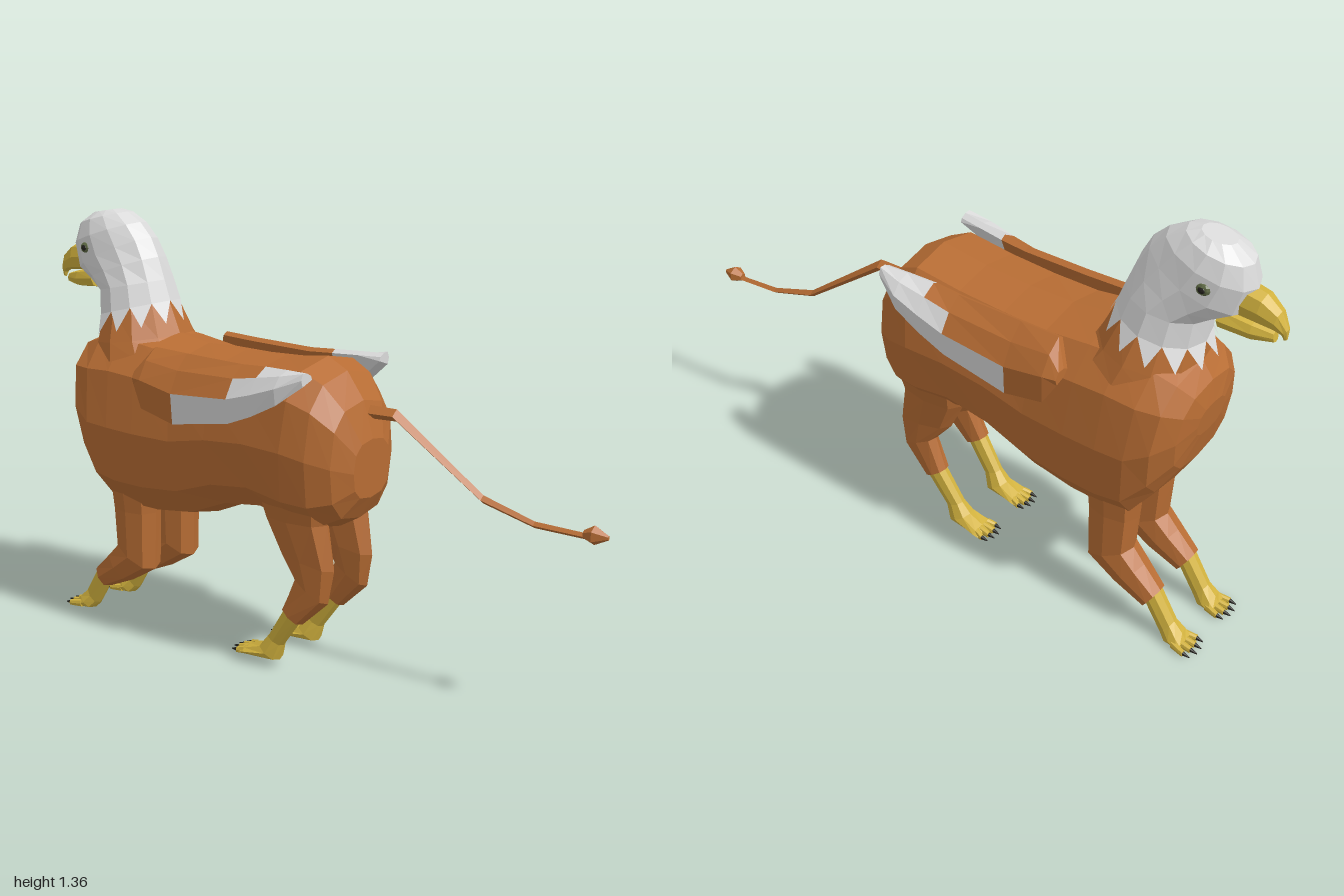
import * as THREE from 'three';

const colour = (name, hex) => {
  const m = new THREE.MeshStandardMaterial({ color: hex });
  m.name = name;
  return m;
};
const brown = colour('brown fur', 0xb86d34);
const white = colour('white feathers', 0xdadada);
const yellow = colour('yellow skin', 0xd2b23e);
const olive = colour('olive eye', 0x5f6a45);
const black = colour('black claw', 0x25231e);

// Flat-faced mesh from a list of triangles
function facets(name, material, tris) {
  const geo = new THREE.BufferGeometry().setFromPoints(tris.flat());
  geo.computeVertexNormals();
  const mesh = new THREE.Mesh(geo, material);
  mesh.name = name;
  return mesh;
}

// Skins closed rings with end caps; pick(i, j) gives the material of each facet
function skin(name, rings, pick) {
  const tris = [];
  const n = rings[0].length, last = rings.length - 1;
  const add = (m, ...t) => tris.push({ m, t });
  for (let i = 0; i < last; i++) {
    for (let j = 0; j < n; j++) {
      const k = (j + 1) % n, m = pick(i, j);
      add(m, rings[i][j], rings[i][k], rings[i + 1][k]);
      add(m, rings[i][j], rings[i + 1][k], rings[i + 1][j]);
    }
  }
  for (let j = 1; j < n - 1; j++) {
    add(pick(0, 1), rings[0][0], rings[0][j + 1], rings[0][j]);
    add(pick(last - 1, 1), rings[last][0], rings[last][j], rings[last][j + 1]);
  }
  // Turn all faces outward
  const volume = tris.reduce((v, { t: [a, b, c] }) => v + a.dot(b.clone().cross(c)), 0);
  if (volume < 0) tris.forEach(f => f.t.reverse());
  const group = new THREE.Group();
  group.name = name;
  for (const m of new Set(tris.map(f => f.m))) {
    group.add(facets(name + ' ' + m.name, m, tris.filter(f => f.m === m).map(f => f.t)));
  }
  return group;
}

// Section: [zA, yA, zB, yB, halfWidth, xCentre]; an oval spanning from A to B
function ring([zA, yA, zB, yB, hw, xc = 0], n, power) {
  const bend = v => Math.sign(v) * Math.abs(v) ** power;
  return Array.from({ length: n }, (_, k) => {
    const t = (k / n) * Math.PI * 2;
    const c = bend(Math.cos(t)), s = bend(Math.sin(t));
    return new THREE.Vector3(xc + hw * s, (yA + yB) / 2 + c * (yA - yB) / 2, (zA + zB) / 2 + c * (zA - zB) / 2);
  });
}
const loft = (name, material, sections, n = 8, power = 0.8) =>
  skin(name, sections.map(s => ring(s, n, power)), () => material);

export function createModel() {
  const model = new THREE.Group();
  model.name = 'winged beast';
  const add = (...parts) => model.add(...parts);

  // Torso from rump to chest
  add(loft('torso', brown, [
    [0.285, 0.76, 0.28, 0.58, 0.09],
    [0.25, 0.87, 0.24, 0.51, 0.155],
    [0.19, 0.95, 0.17, 0.47, 0.195],
    [0.12, 0.985, 0.08, 0.47, 0.212],
    [-0.04, 0.967, -0.04, 0.50, 0.212],
    [-0.2, 0.962, -0.18, 0.48, 0.212],
    [-0.35, 0.967, -0.32, 0.42, 0.215],
    [-0.5, 0.99, -0.46, 0.40, 0.223],
    [-0.6, 1.0, -0.58, 0.40, 0.227],
    [-0.7, 0.99, -0.66, 0.42, 0.225],
    [-0.77, 0.96, -0.73, 0.53, 0.205],
    [-0.808, 0.91, -0.785, 0.63, 0.15],
    [-0.82, 0.84, -0.81, 0.74, 0.07],
  ], 12, 0.75));
  add(loft('neck base', brown, [
    [-0.79, 0.88, -0.42, 0.93, 0.185],
    [-0.775, 0.94, -0.47, 0.98, 0.165],
    [-0.765, 1.03, -0.515, 1.08, 0.128],
  ], 12, 1));

  // Head with a ragged feather collar
  const head = [
    [-0.775, 1.02, -0.512, 1.085, 0.134],
    [-0.78, 1.10, -0.535, 1.15, 0.122],
    [-0.83, 1.13, -0.56, 1.22, 0.112],
    [-0.885, 1.16, -0.59, 1.28, 0.104],
    [-0.905, 1.24, -0.635, 1.325, 0.096],
    [-0.885, 1.305, -0.69, 1.355, 0.075],
    [-0.83, 1.345, -0.73, 1.362, 0.04],
  ];
  add(loft('head', white, head, 12, 1));
  const rim = ring(head[0], 12, 1);
  const rimCentre = new THREE.Vector3(0, 1.05, -0.6435);
  const collar = rim.map((p, i) => {
    const q = rim[(i + 1) % 12];
    const tip = p.clone().add(q).multiplyScalar(0.5);
    const y = tip.y - 0.065;
    tip.sub(rimCentre).multiplyScalar(1.23).add(rimCentre).setY(y);
    return [p, tip, q];
  });
  const facing = collar.map(([p, t, q]) => {
    const normal = t.clone().sub(p).cross(q.clone().sub(p));
    return normal.dot(t.clone().sub(rimCentre)) > 0 ? [p, t, q] : [p, q, t];
  });
  add(facets('feather collar', white, facing));

  // Hooked beak
  add(loft('upper beak', yellow, [
    [-0.86, 1.25, -0.84, 1.155, 0.045],
    [-0.93, 1.235, -0.92, 1.15, 0.04],
    [-0.975, 1.2, -0.965, 1.145, 0.028],
    [-1.0, 1.155, -0.985, 1.135, 0.013],
    [-1.0, 1.125, -0.99, 1.12, 0.004],
  ]));
  add(loft('lower beak', yellow, [
    [-0.82, 1.165, -0.82, 1.1, 0.05],
    [-0.91, 1.15, -0.91, 1.095, 0.035],
    [-0.965, 1.135, -0.97, 1.105, 0.014],
  ]));

  // Tail with a pointed tuft
  const tail = [[0.2, 0.83, 0.025, 0.026], [0.345, 0.832, 0.032, 0.023], [0.625, 0.625, 0.062, 0.015],
    [0.785, 0.578, 0.076, 0.012], [0.95, 0.572, 0.09, 0.011]];
  add(loft('tail', brown, tail.map(([z, y, x, r]) => [z, y + r * 0.8, z, y - r * 0.8, r, x]), 4, 1));
  add(loft('tail tuft', brown, [
    [0.93, 0.59, 0.93, 0.565, 0.012, 0.088],
    [0.96, 0.608, 0.96, 0.552, 0.027, 0.091],
    [1.0, 0.585, 1.0, 0.572, 0.006, 0.095],
  ], 6, 1));

  for (const side of [1, -1]) {
    const label = side > 0 ? 'left' : 'right';
    const limb = (name, material, sections) =>
      add(loft(`${label} ${name}`, material, sections.map(([a, b, c, d, w, x]) => [a, b, c, d, w, side * x])));

    // Eye
    const disc = (name, material, r, x) => {
      const eye = new THREE.Mesh(new THREE.SphereGeometry(r, 8, 6).toNonIndexed(), material);
      eye.geometry.computeVertexNormals();
      eye.name = `${label} ${name}`;
      eye.scale.set(0.5, 0.8, 1);
      eye.position.set(side * x, 1.24, -0.795);
      add(eye);
    };
    disc('eye', olive, 0.022, 0.09);
    disc('pupil', black, 0.012, 0.097);

    // Front leg
    limb('front leg', brown, [
      [-0.68, 0.55, -0.5, 0.55, 0.07, 0.1],
      [-0.672, 0.4, -0.51, 0.4, 0.06, 0.093],
      [-0.665, 0.28, -0.518, 0.205, 0.057, 0.093],
      [-0.705, 0.235, -0.62, 0.145, 0.053, 0.094],
      [-0.768, 0.17, -0.725, 0.1, 0.042, 0.096],
    ]);
    limb('front foot', yellow, [
      [-0.765, 0.168, -0.73, 0.112, 0.03, 0.096],
      [-0.825, 0.075, -0.785, 0.025, 0.028, 0.096],
      [-0.855, 0.045, -0.805, 0.003, 0.038, 0.096],
      [-0.868, 0.025, -0.855, 0.003, 0.04, 0.096],
    ]);

    // Hind leg
    limb('hind leg', brown, [
      [-0.06, 0.64, 0.23, 0.68, 0.085, 0.115],
      [-0.03, 0.5, 0.195, 0.5, 0.055, 0.1],
      [0.02, 0.395, 0.22, 0.36, 0.04, 0.097],
      [0.08, 0.32, 0.2, 0.255, 0.032, 0.1],
      [0.038, 0.215, 0.107, 0.168, 0.031, 0.105],
    ]);
    limb('hind foot', yellow, [
      [0.045, 0.215, 0.1, 0.175, 0.026, 0.105],
      [-0.025, 0.105, 0.03, 0.08, 0.024, 0.1],
      [-0.055, 0.07, 0.013, 0.027, 0.036, 0.098],
      [-0.105, 0.05, -0.1, 0.025, 0.046, 0.098],
      [-0.12, 0.042, -0.12, 0.025, 0.044, 0.098],
    ]);

    // Toes and claws
    for (const i of [-1.5, -0.5, 0.5, 1.5]) {
      const reach = Math.abs(i) < 1 ? 0.01 : 0;
      for (const [foot, z, y, spread] of [['front', -0.84, 0.003, 0.026], ['hind', -0.105, 0.025, 0.024]]) {
        const long = foot === 'front' ? 0.045 : 0.025;
        const x0 = 0.097 + i * 0.019, x1 = 0.097 + i * spread;
        const end = z - long - reach;
        limb(`${foot} toe`, yellow, [
          [z, y + 0.028, z, y, 0.011, x0],
          [end, y + 0.02, end, y, 0.009, x1],
        ]);
        limb(`${foot} claw`, black, [
          [end, y + 0.017, end, y + 0.004, 0.006, x1],
          [end - 0.022, y + 0.01, end - 0.022, y + 0.006, 0.001, x1],
        ]);
      }
    }

    // Folded wing: [z, top, middle, low, inner x, outer x]
    const wing = [
      [0.188, 0.972, 0.955, 0.935, 0.17, 0.215],
      [0.11, 0.97, 0.925, 0.875, 0.16, 0.243],
      [0.02, 0.967, 0.895, 0.83, 0.15, 0.245],
      [-0.07, 0.962, 0.87, 0.795, 0.148, 0.245],
      [-0.29, 0.967, 0.855, 0.76, 0.148, 0.245],
      [-0.42, 0.972, 0.88, 0.79, 0.15, 0.245],
      [-0.46, 0.9, 0.88, 0.86, 0.18, 0.235],
    ];
    const wingRings = wing.map(([z, top, mid, low, a, b]) => [
      [a, top - 0.01], [a + 0.018, top], [(a + b) / 2 + 0.015, (top + mid) / 2 + 0.01],
      [b, mid], [b - 0.006, low], [b - 0.05, low + 0.015],
    ].map(([x, y]) => new THREE.Vector3(side * x, y, z)));
    const whiteRows = [2, 2, 3, 4, 4, 2];
    add(skin(`${label} wing`, wingRings, (i, j) => (i < whiteRows[j] ? white : brown)));
  }
  return model;
}
